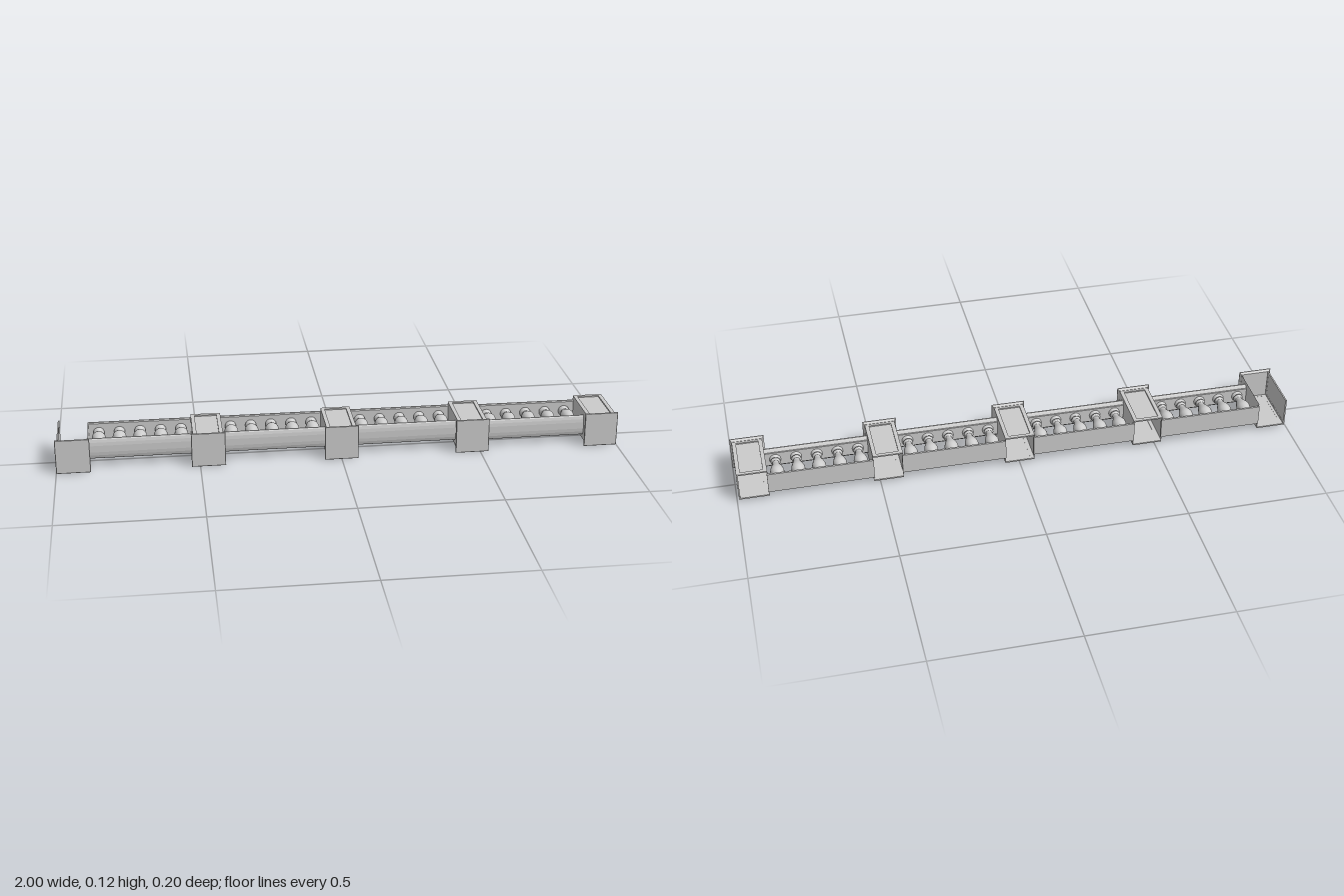
import * as THREE from 'three';

const mat = new THREE.MeshStandardMaterial({ color: 0xcccccc, side: THREE.DoubleSide });

function add(parent, name, geometry) {
  const mesh = new THREE.Mesh(geometry, mat);
  mesh.name = name;
  parent.add(mesh);
  return mesh;
}

function rect(path, w, h, dy = 0) {
  path.moveTo(-w / 2, dy - h / 2);
  path.lineTo(w / 2, dy - h / 2);
  path.lineTo(w / 2, dy + h / 2);
  path.lineTo(-w / 2, dy + h / 2);
  path.closePath();
  return path;
}

// Wall with a raised border around a sunken field, facing local +z
function panel(w, h, framed) {
  const wall = new THREE.Group();
  wall.name = 'postWall';
  if (!framed) {
    add(wall, 'plainWall', new THREE.PlaneGeometry(w, h));
    return wall;
  }
  const border = rect(new THREE.Shape(), w, h);
  border.holes.push(rect(new THREE.Path(), w - 0.028, h - 0.026));
  const frame = add(wall, 'panelFrame',
    new THREE.ExtrudeGeometry(border, { depth: 0.005, bevelEnabled: false }));
  frame.position.z = -0.005;
  const field = add(wall, 'panelField', new THREE.PlaneGeometry(w - 0.024, h - 0.022));
  field.position.z = -0.0045;
  return wall;
}

// Hollow post lying along z: capped at +z, open at the foot
function makePost(end, openTop) {
  const post = new THREE.Group();
  post.name = 'post';
  const w = 0.106, d = 0.107, h = 0.193, zc = -0.0035;

  for (const s of [-1, 1]) {
    // Broad faces, up and down
    if (!(openTop && s > 0)) {
      const face = panel(w, h, true);
      face.rotation.x = -s * Math.PI / 2;
      face.position.set(0, 0.0635 + s * d / 2, zc);
      post.add(face);
    }
    // Faces along the row, framed only on the outer ends
    const side = panel(h, d, end === s);
    side.rotation.y = s * Math.PI / 2;
    side.position.set(s * w / 2, 0.0635, zc);
    post.add(side);
  }

  // Square cap swelling from the shaft into a thin slab
  const r = Math.SQRT2;
  const profile = [[0, 0.089], [0.0535, 0.089], [0.055, 0.092], [0.058, 0.095],
    [0.06, 0.096], [0.06, 0.0985], [0.0585, 0.1], [0, 0.1]]
    .map(([x, z]) => new THREE.Vector2(x * r, z));
  const geo = new THREE.LatheGeometry(profile, 4, Math.PI / 4).toNonIndexed();
  geo.computeVertexNormals();
  geo.rotateX(Math.PI / 2);
  geo.scale(1, 0.0625 / 0.06, 1);
  add(post, 'postCap', geo).position.y = 0.0625;
  return post;
}

// Rail cross-section given as (y, z), mirrored across its middle and run along x
function makeRail(name, half, length) {
  const points = [...half, ...half.slice().reverse().map(([y, z]) => [-y, z])]
    .map(([y, z]) => new THREE.Vector2(-z, y));
  const geo = new THREE.ExtrudeGeometry(new THREE.Shape(points), { depth: length, bevelEnabled: false });
  geo.translate(0, 0, -length / 2);
  geo.rotateY(Math.PI / 2);
  const rail = new THREE.Mesh(geo, mat);
  rail.name = name;
  return rail;
}

// Turned vase profile as (radius, z)
const foot = [[0.02, -0.092], [0.02, -0.084], [0.015, -0.081], [0.012, -0.076]];
const vase = new THREE.SplineCurve([[0.012, -0.076], [0.018, -0.062], [0.0245, -0.042],
  [0.021, -0.023], [0.013, -0.002], [0.011, 0.013]].map(p => new THREE.Vector2(...p))).getPoints(16);
const head = [[0.017, 0.015], [0.017, 0.02], [0.012, 0.022], [0.014, 0.027], [0.02, 0.029], [0.02, 0.038]];
const balusterGeometry = new THREE.LatheGeometry(
  [...foot.map(p => new THREE.Vector2(...p)), ...vase.slice(1), ...head.map(p => new THREE.Vector2(...p))], 20);
balusterGeometry.rotateX(Math.PI / 2);

function makeBay() {
  const bay = new THREE.Group();
  bay.name = 'bay';
  // Moulded handrail
  bay.add(makeRail('handrail', [[0.026, 0.033], [0.026, 0.038], [0.031, 0.041], [0.034, 0.043],
    [0.0375, 0.046], [0.0375, 0.05], [0.034, 0.053], [0.024, 0.056], [0.012, 0.0575]], 0.37));
  // Flat foot rail
  bay.add(makeRail('footRail', [[0.0375, -0.1], [0.0375, -0.093], [0.034, -0.09]], 0.37));
  for (let i = 0; i < 5; i++) {
    add(bay, 'baluster', balusterGeometry).position.x = (i - 2) * 0.073;
  }
  return bay;
}

export function createModel() {
  const model = new THREE.Group();
  model.name = 'balustrade';
  for (let i = 0; i < 5; i++) {
    const post = makePost(i === 0 ? -1 : i === 4 ? 1 : 0, i === 0);
    post.position.x = (i - 2) * 0.47;
    model.add(post);
  }
  // The last bay sits slightly lower
  for (let i = 0; i < 4; i++) {
    const bay = makeBay();
    bay.position.set((i - 1.5) * 0.47, i === 3 ? 0.063 : 0.068, 0);
    model.add(bay);
  }
  return model;
}
